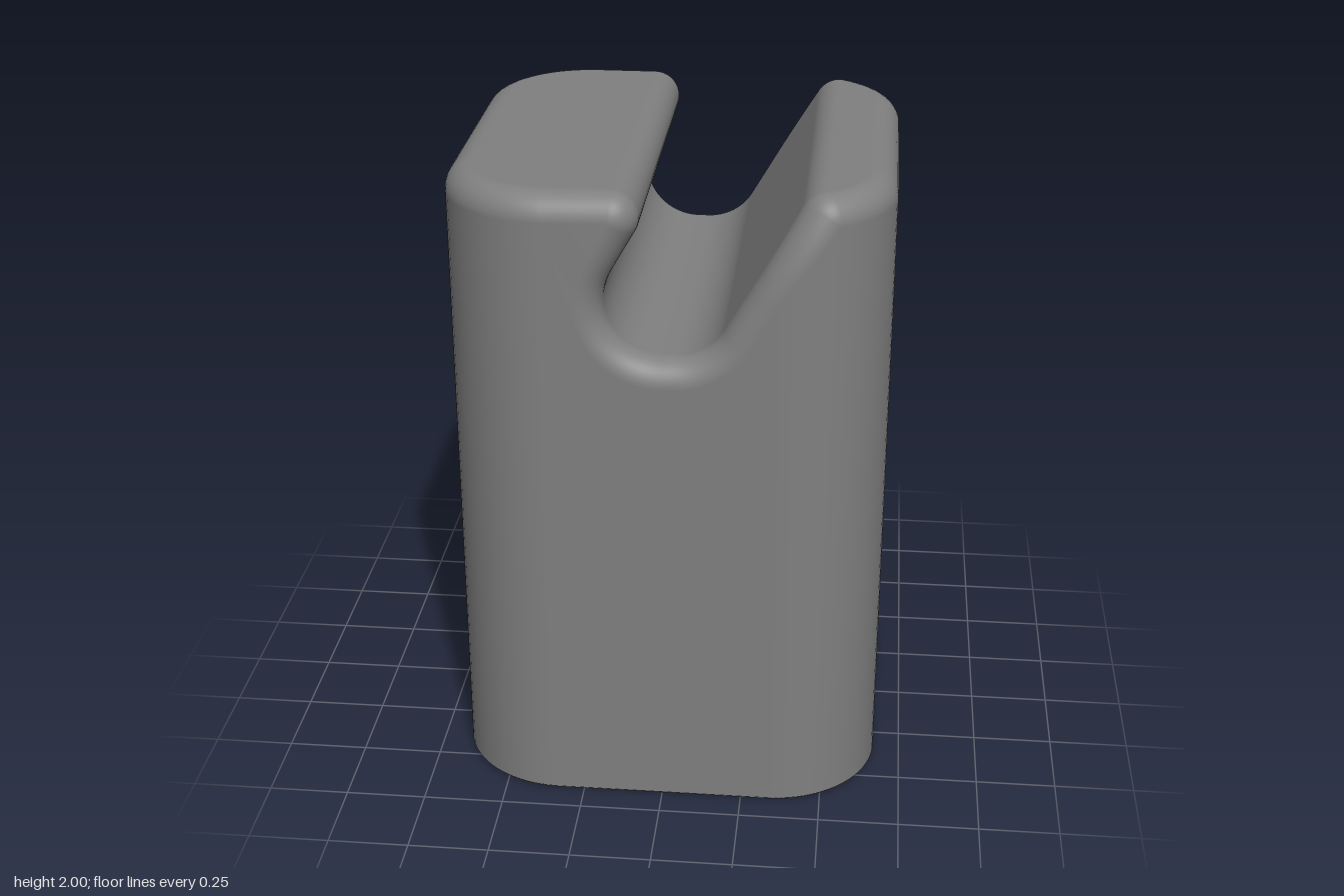
import * as THREE from 'three';
import { mergeVertices } from 'three/addons/utils/BufferGeometryUtils.js';

const HALF = 0.665;    // half width and half depth of the block
const CORNER = 0.33;   // radius of the upright corners
const CORE = HALF - CORNER;
const FILLET = 0.08;   // rounding of the top and slot edges
const CHAMFER = 0.012; // tiny bevel at the base
const TOP = 2;
const LIP_X = -0.145, RAMP_X = 0.467;        // centres of the lip and ramp roundings
const SLOT_Y = 1.67, SLOT_R = 0.17, SLOT_X = 0.034;
const rad = THREE.MathUtils.degToRad;

// Outward direction of the front wall at x, where the corner has the given radius
function outward(x, radius) {
  const s = Math.min(1, Math.max(0, Math.abs(x) - CORE) / radius);
  return new THREE.Vector3(Math.sign(x) * s, 0, Math.sqrt(1 - s * s));
}

// Top profile from left to right: points with normals pointing into the solid
function makeProfile() {
  const cols = [];
  const arc = (cx, cy, r, from, to, n, sign) => {
    for (let i = 0; i <= n; i++) {
      const a = rad(from + (to - from) * i / n), c = Math.cos(a), s = Math.sin(a);
      cols.push({ x: cx + r * c, y: cy + r * s, nx: sign * c, ny: sign * s });
    }
  };
  // Flat top parts, spaced by angle around the corners
  const flat = (side, angles) => angles.forEach(a => cols.push({
    x: side * (CORE + (CORNER - FILLET) * Math.sin(a)), y: TOP, nx: 0, ny: -1,
  }));
  const steps = (from, to, n) => Array.from({ length: n + 1 }, (_, i) => from + (to - from) * i / n);

  flat(-1, steps(Math.PI / 2, 0, 16));
  const leftEdge = cols.length;
  arc(LIP_X, TOP - FILLET, FILLET, 90, -30, 12, -1);
  arc(0, SLOT_Y, SLOT_R, 150, 270, 20, 1);
  arc(SLOT_X, SLOT_Y, SLOT_R, 270, 330, 10, 1);
  // Sloping ramp, cut where the front face starts to curve
  const a = cols[cols.length - 1];
  const end = { x: RAMP_X - FILLET * Math.cos(rad(30)), y: TOP - FILLET / 2 };
  const cut = (CORE - a.x - a.nx * FILLET) / (end.x - a.x);
  const rightEdge = cols.length + 1;
  steps(cut, 1, 10).forEach(k => cols.push({
    x: a.x + (end.x - a.x) * k, y: a.y + (end.y - a.y) * k, nx: a.nx, ny: a.ny,
  }));
  arc(RAMP_X, TOP - FILLET, FILLET, 150, 90, 8, -1);
  flat(1, steps(Math.asin((RAMP_X - CORE) / (CORNER - FILLET)), Math.PI / 2, 12));
  return { cols, leftEdge, rightEdge }; // edges count the added end point
}

const onMiddle = p => new THREE.Vector3(p.x, p.y, 0);

// Line of points around the front half; k runs from the wall (0) to the top surface (1),
// following a ball rolled along the inside of the edge
function makeRing(cols, k) {
  const ring = cols.map(c => {
    const x = c.x + c.nx * FILLET;
    const wall = outward(x, CORNER - FILLET);
    const up = new THREE.Vector3(-c.nx, -c.ny, 0);
    const angle = wall.angleTo(up);
    return new THREE.Vector3(x, c.y + c.ny * FILLET, CORE + (CORNER - FILLET) * wall.z)
      .addScaledVector(wall, FILLET * Math.sin((1 - k) * angle) / Math.sin(angle))
      .addScaledVector(up, FILLET * Math.sin(k * angle) / Math.sin(angle));
  });
  return [onMiddle(ring[0]), ...ring, onMiddle(ring[ring.length - 1])];
}

function blockGeometry() {
  const { cols, leftEdge, rightEdge } = makeProfile();
  const positions = [];
  // Each triangle is mirrored to the back half
  const tri = (a, b, c) => {
    for (const p of [a, b, c]) positions.push(p.x, p.y, p.z);
    for (const p of [a, c, b]) positions.push(p.x, p.y, -p.z);
  };
  const strip = (low, high) => {
    for (let i = 0; i < low.length - 1; i++) {
      tri(low[i], low[i + 1], high[i + 1]);
      tri(low[i], high[i + 1], high[i]);
    }
  };

  // Rounded edge, then the top and slot surface running to the middle
  const N = 10;
  const rings = Array.from({ length: N + 1 }, (_, i) => makeRing(cols, i / N));
  for (let i = 0; i < N; i++) strip(rings[i], rings[i + 1]);
  strip(rings[N], rings[N].map(onMiddle));

  // Side walls and curved corners
  const rim = rings[0];
  const left = rim.slice(0, leftEdge + 1), right = rim.slice(rightEdge);
  const foot = p => new THREE.Vector3(p.x, CHAMFER, p.z);
  strip(left.map(foot), left);
  strip(right.map(foot), right);

  // Flat front face around the slot
  const face = [foot(rim[leftEdge]), foot(rim[rightEdge]), ...rim.slice(leftEdge, rightEdge + 1).reverse()]
    .filter((p, i, all) => i === 0 || p.distanceTo(all[i - 1]) > 1e-4);
  const outline = face.map(p => new THREE.Vector2(p.x, p.y));
  for (const [a, b, c] of THREE.ShapeUtils.triangulateShape(outline, [])) tri(face[a], face[b], face[c]);

  // Bevel and underside
  const base = [...left, ...right].map(foot);
  const sole = base.map(p => p.clone().addScaledVector(outward(p.x, CORNER), -CHAMFER).setY(0));
  sole[0].z = sole[sole.length - 1].z = 0;
  strip(sole, base);
  strip(sole.map(onMiddle), sole);

  const geometry = new THREE.BufferGeometry();
  geometry.setAttribute('position', new THREE.Float32BufferAttribute(positions, 3));
  const smooth = mergeVertices(geometry, 1e-4);
  smooth.computeVertexNormals();
  return smooth;
}

export function createModel() {
  const model = new THREE.Group();
  model.name = 'slottedBlock';
  const block = new THREE.Mesh(blockGeometry(), new THREE.MeshStandardMaterial({ color: 0x808080 }));
  block.name = 'block';
  model.add(block);
  return model;
}
